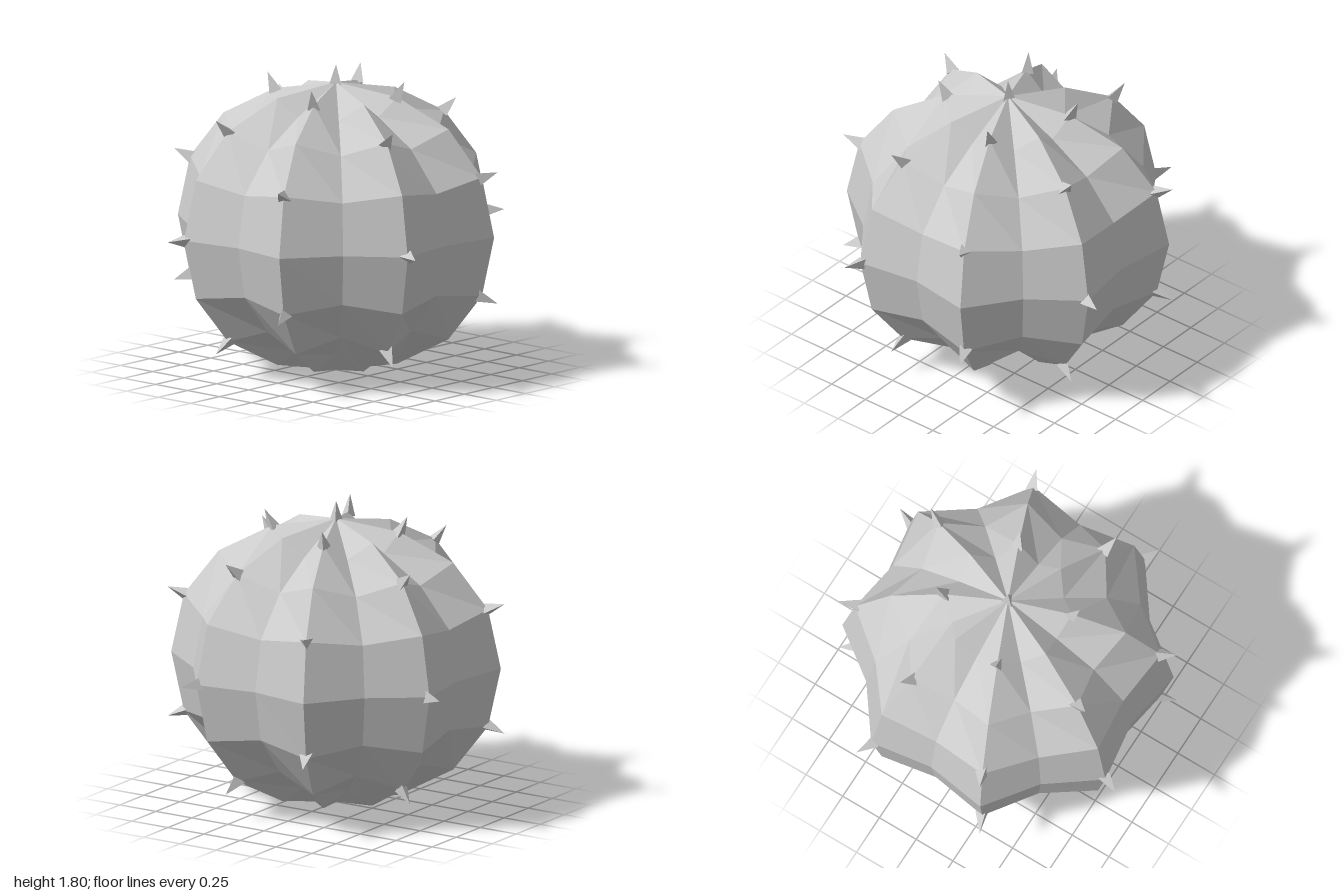
import * as THREE from 'three';

const CENTRE_Y = 0.85;
const RIBS = 8;
// radius and height offset from the equator up to the pole
const RIDGE = [[0.97, 0], [0.895, 0.35], [0.69, 0.62], [0.375, 0.787], [0, 0.85]];
const VALLEY = [[0.84, 0], [0.785, 0.3], [0.585, 0.535], [0.33, 0.69], [0, 0.85]];

// point on the ribbed surface: level runs from -4 (bottom pole) to 4 (top pole)
function surfacePoint(column, level) {
  const [r, h] = (column % 2 ? RIDGE : VALLEY)[Math.abs(level)];
  const a = (column / (RIBS * 2)) * Math.PI * 2;
  return new THREE.Vector3(-Math.cos(a) * r, CENTRE_Y + Math.sign(level) * h, Math.sin(a) * r);
}

export function createModel() {
  const group = new THREE.Group();
  group.name = 'cactus';
  const material = new THREE.MeshStandardMaterial({ color: 0xcccccc, flatShading: true });

  // ribbed body: a sphere grid moved onto alternating ridges and valleys
  const columns = RIBS * 2;
  const grid = new THREE.SphereGeometry(1, columns, 8);
  const pos = grid.attributes.position;
  for (let i = 0; i < pos.count; i++) {
    const column = i % (columns + 1);
    const level = 4 - Math.floor(i / (columns + 1));
    const p = surfacePoint(column, level);
    pos.setXYZ(i, p.x, p.y, p.z);
  }
  const bodyGeometry = grid.toNonIndexed();
  bodyGeometry.computeVertexNormals();
  const body = new THREE.Mesh(bodyGeometry, material);
  body.name = 'ribbedBody';
  group.add(body);

  // three-sided spines pointing away from the centre
  const spineGeometry = new THREE.ConeGeometry(0.045, 0.125, 3).toNonIndexed();
  spineGeometry.translate(0, 0.042, 0);
  spineGeometry.computeVertexNormals();
  const spines = new THREE.Group();
  spines.name = 'spines';
  group.add(spines);
  const up = new THREE.Vector3(0, 1, 0);
  const centre = new THREE.Vector3(0, CENTRE_Y, 0);
  function addSpine(point) {
    const spine = new THREE.Mesh(spineGeometry, material);
    spine.name = 'spine';
    spine.position.copy(point);
    spine.quaternion.setFromUnitVectors(up, point.clone().sub(centre).normalize());
    spines.add(spine);
  }

  // staggered on every other ridge, level by level, with one on the crown
  for (let level = -2; level <= 3; level++) {
    for (let rib = 0; rib < RIBS; rib++) {
      const column = rib * 2 + 1;
      // rib 3 is the front ridge left of the middle in x < 0
      if ((rib + level) % 2 !== 0) addSpine(surfacePoint(column, level));
    }
  }
  addSpine(new THREE.Vector3(0, CENTRE_Y + 0.85, 0));
  return group;
}
